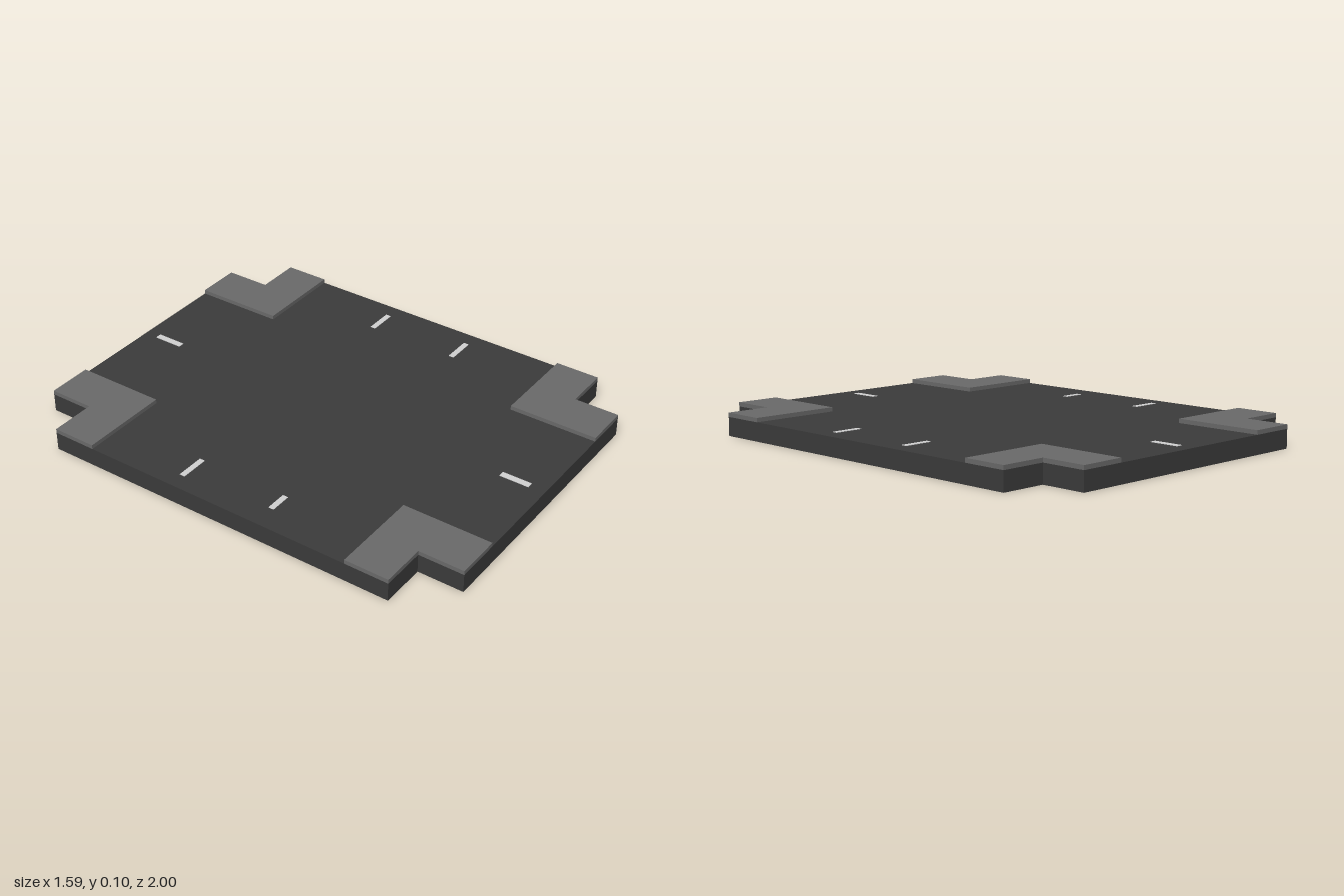
import * as THREE from 'three';

const BASE_H = 0.08, PAD_H = 0.018;
const W = 0.795, L = 1, NX = 0.598, NZ = 0.803; // outer half sizes and corner notch
const PX = 0.402, PZ = 0.61; // inner corner of the raised pads

const slabMat = new THREE.MeshStandardMaterial({ name: 'dark grey', color: 0x3b3b3b });
const padMat = new THREE.MeshStandardMaterial({ name: 'mid grey', color: 0x6a6a6a });
const markMat = new THREE.MeshStandardMaterial({ name: 'light grey', color: 0xd2d2d2 });

// Flat slab from a plan outline of [x, z] points, bottom at y
function slab(name, points, y, height, material) {
  const shape = new THREE.Shape(points.map(([x, z]) => new THREE.Vector2(x, -z)));
  const geometry = new THREE.ExtrudeGeometry(shape, { depth: height, bevelEnabled: false });
  geometry.rotateX(-Math.PI / 2).translate(0, y, 0);
  const mesh = new THREE.Mesh(geometry, material);
  mesh.name = name;
  return mesh;
}

export function createModel() {
  const model = new THREE.Group();
  model.name = 'notchedFloorTile';

  // Base slab with a square notch in each corner
  model.add(slab('baseSlab', [
    [NX, L], [NX, NZ], [W, NZ], [W, -NZ], [NX, -NZ], [NX, -L],
    [-NX, -L], [-NX, -NZ], [-W, -NZ], [-W, NZ], [-NX, NZ], [-NX, L],
  ], 0, BASE_H, slabMat));

  // Raised L-shaped pads around the notches
  const pad = [[PX, PZ], [W, PZ], [W, NZ], [NX, NZ], [NX, L], [PX, L]];
  for (const sx of [1, -1]) {
    for (const sz of [1, -1]) {
      const name = (sz > 0 ? 'front' : 'back') + (sx > 0 ? 'Left' : 'Right') + 'Pad';
      model.add(slab(name, pad.map(([x, z]) => [x * sx, z * sz]), BASE_H, PAD_H, padMat));
    }
  }

  // Thin painted dashes: centre x, centre z, size x, size z
  const marks = [
    ['backMark', 0, -0.873, 0.028, 0.13],
    ['frontMark', 0, 0.866, 0.028, 0.13],
    ['rightBackMark', -0.662, -0.207, 0.125, 0.024],
    ['leftBackMark', 0.662, -0.207, 0.125, 0.024],
    ['rightFrontMark', -0.645, 0.2, 0.092, 0.024],
    ['leftFrontMark', 0.662, 0.2, 0.125, 0.024],
  ];
  for (const [name, x, z, w, d] of marks) {
    const mark = new THREE.Mesh(new THREE.BoxGeometry(w, 0.004, d), markMat);
    mark.position.set(x, BASE_H, z);
    mark.name = name;
    model.add(mark);
  }
  return model;
}
